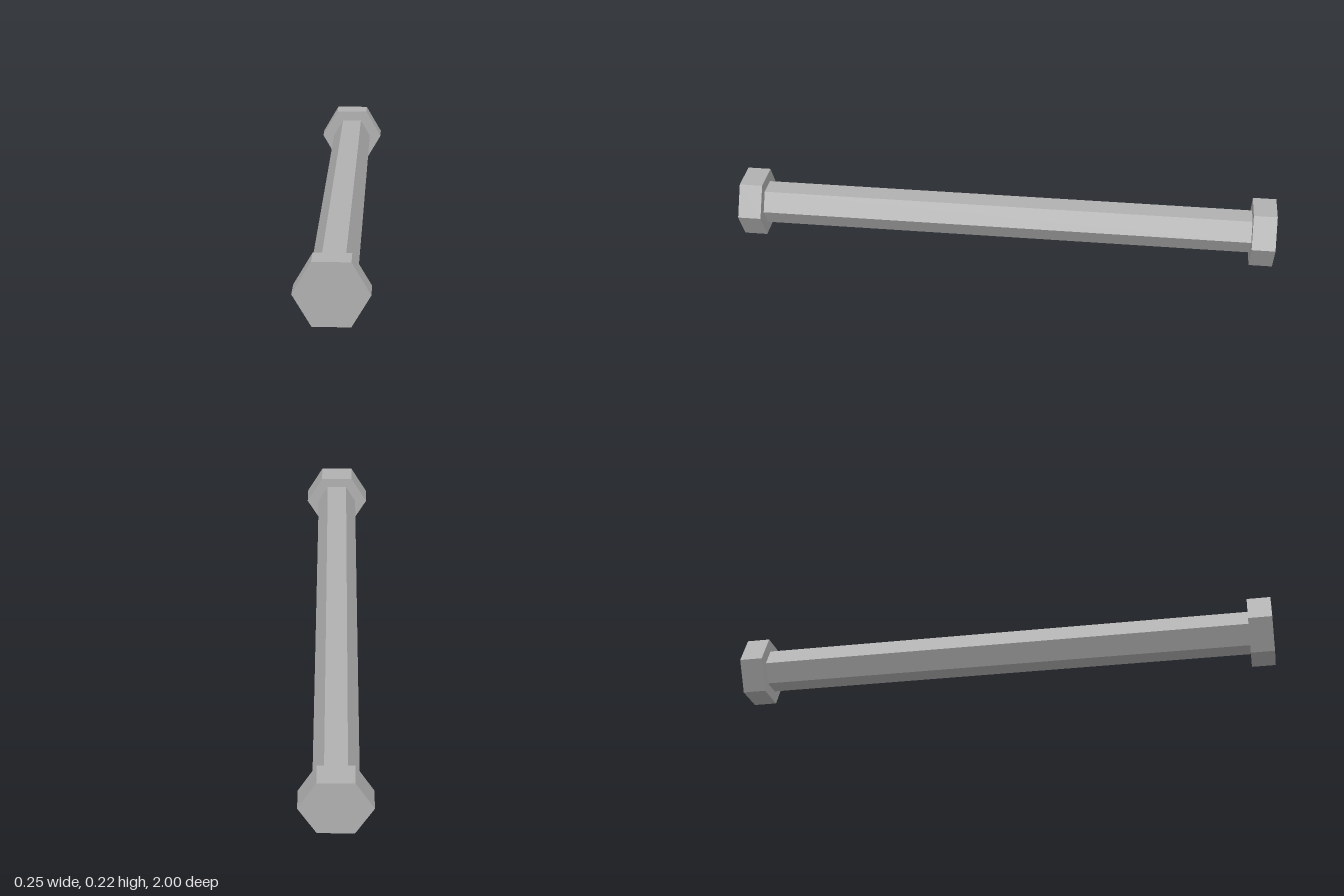
import * as THREE from 'three';

const HEAD_RADIUS = 0.125;
const HEAD_LENGTH = 0.086;
const SHAFT_RADIUS = 0.078;
const AXIS_HEIGHT = HEAD_RADIUS * Math.cos(Math.PI / 6);

// Six-sided prism along z with flat top and bottom faces
function hexPrism(name, radius, length, z, material) {
  const geometry = new THREE.CylinderGeometry(radius, radius, length, 6, 1, false, Math.PI / 6);
  geometry.rotateX(Math.PI / 2);
  const mesh = new THREE.Mesh(geometry, material);
  mesh.name = name;
  mesh.position.set(0, AXIS_HEIGHT, z);
  return mesh;
}

export function createModel() {
  const steel = new THREE.MeshStandardMaterial({ color: 0xb0b0b0, flatShading: true });
  steel.name = 'steel grey';

  const model = new THREE.Group();
  model.name = 'hexRod';

  // Long shaft between the two end caps
  model.add(hexPrism('shaft', SHAFT_RADIUS, 2 - 2 * HEAD_LENGTH, 0, steel));

  // Wider caps at the front and back
  for (const side of [1, -1]) {
    const name = side > 0 ? 'frontCap' : 'backCap';
    model.add(hexPrism(name, HEAD_RADIUS, HEAD_LENGTH, side * (1 - HEAD_LENGTH / 2), steel));
  }
  return model;
}
